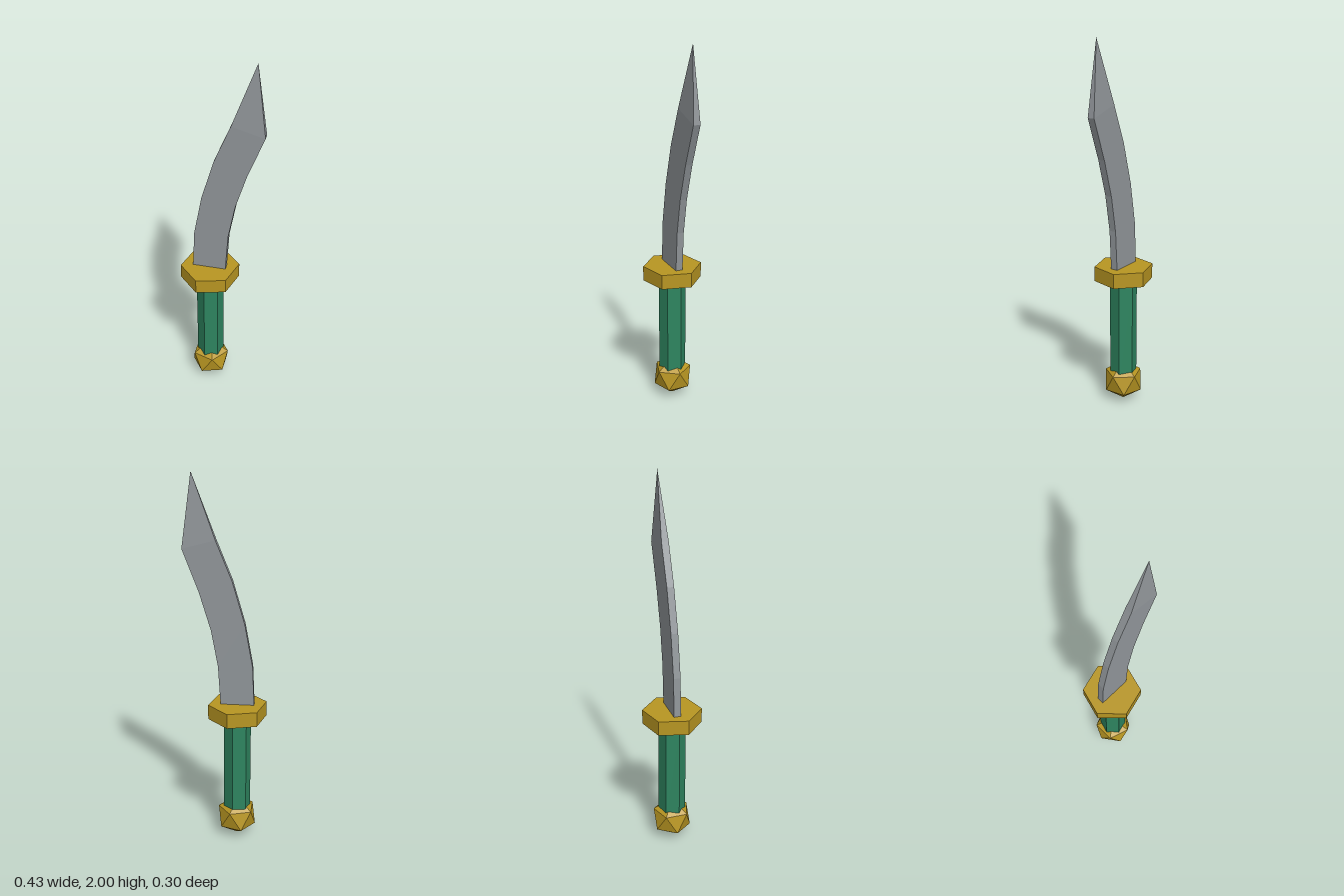
import * as THREE from 'three';

const steel = new THREE.MeshStandardMaterial({ color: 0x91969a });
steel.name = 'steel';
const gold = new THREE.MeshStandardMaterial({ color: 0xb89622 });
gold.name = 'gold';
const green = new THREE.MeshStandardMaterial({ color: 0x2e8560 });
green.name = 'green';

const AXIS_X = -0.068; // the grip axis sits left of the centre

// Splits shared corners so every face is flat shaded
function faceted(geometry) {
  const flat = geometry.index ? geometry.toNonIndexed() : geometry;
  flat.computeVertexNormals();
  return flat;
}

function addPart(group, name, geometry, material) {
  const mesh = new THREE.Mesh(faceted(geometry), material);
  mesh.name = name;
  group.add(mesh);
}

// Six-sided prism on the grip axis, turned 45 degrees
function hexPrism(radius, bottom, top) {
  return new THREE.CylinderGeometry(radius, radius, top - bottom, 6, 1, false, Math.PI / 4)
    .translate(AXIS_X, (bottom + top) / 2, 0);
}

// Curved blade: rectangular sections that end in one point
function bladeGeometry() {
  const t = 0.019;
  // spine x, spine y, edge x, edge y, half thickness
  const sections = [
    [-0.157, 0.78, 0.02, 0.78, t],
    [-0.147, 1.0, 0.034, 1.0, t],
    [-0.105, 1.23, 0.07, 1.195, t],
    [-0.04, 1.455, 0.13, 1.395, t],
    [0.045, 1.665, 0.215, 1.618, t],
    [0.167, 2.0, 0.167, 2.0, 0],
  ];
  const positions = [];
  const index = [];
  for (const [sx, sy, ex, ey, z] of sections) {
    positions.push(sx, sy, -z, sx, sy, z, ex, ey, z, ex, ey, -z);
  }
  const last = sections.length - 2;
  for (let s = 0; s <= last; s++) {
    for (let i = 0; i < 4; i++) {
      const a = s * 4 + i;
      const b = s * 4 + (i + 1) % 4;
      index.push(a, b, b + 4);
      if (s < last) index.push(a, b + 4, a + 4);
    }
  }
  index.push(0, 2, 1, 0, 3, 2); // base cap
  const geometry = new THREE.BufferGeometry();
  geometry.setAttribute('position', new THREE.Float32BufferAttribute(positions, 3));
  geometry.setIndex(index);
  return geometry;
}

export function createModel() {
  const group = new THREE.Group();
  group.name = 'curvedDagger';

  addPart(group, 'blade', bladeGeometry(), steel);
  addPart(group, 'guard', hexPrism(0.157, 0.705, 0.785), gold);
  addPart(group, 'grip', hexPrism(0.073, 0.12, 0.685), green);

  // Pommel: icosahedron standing on one corner
  const pommel = new THREE.IcosahedronGeometry(0.112, 0)
    .rotateX(-Math.atan((1 + Math.sqrt(5)) / 2))
    .rotateY(Math.PI / 2)
    .translate(AXIS_X, 0.114, 0);
  addPart(group, 'pommel', pommel, gold);

  return group;
}
